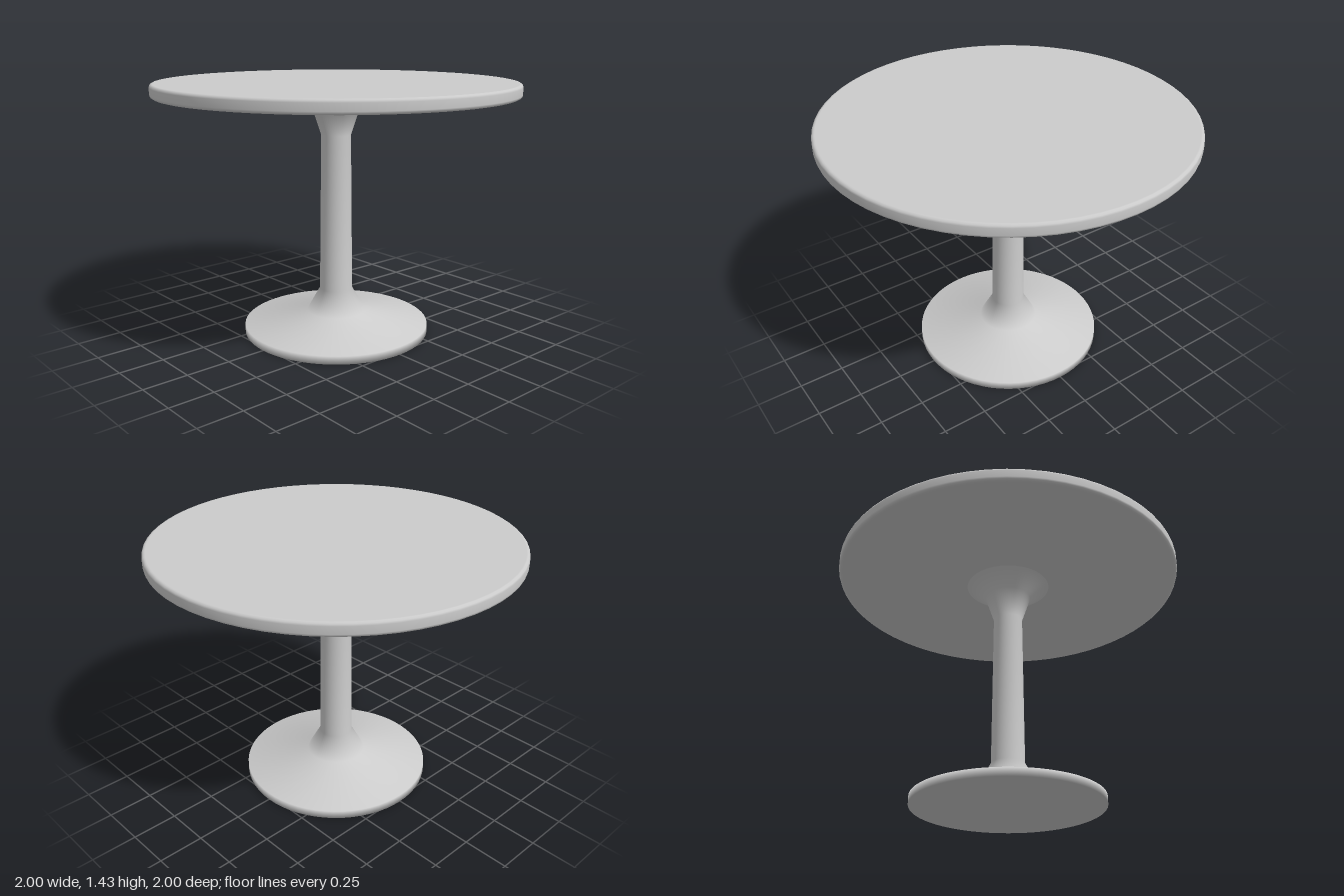
import * as THREE from 'three';

const SEGMENTS = 64;

// Revolve a profile of [radius, height] pairs around the y axis
function turned(name, profile, material) {
  const points = profile.map(([r, y]) => new THREE.Vector2(r, y));
  const mesh = new THREE.Mesh(new THREE.LatheGeometry(points, SEGMENTS), material);
  mesh.name = name;
  return mesh;
}

export function createModel() {
  const group = new THREE.Group();
  group.name = 'pedestalTable';
  const material = new THREE.MeshStandardMaterial({ color: 0xcccccc });

  // Pedestal: flat foot, flared neck, tapering column and spreading collar
  group.add(turned('pedestal', [
    [0, 0],
    [0.528, 0],
    [0.528, 0.046],
    [0.166, 0.115],
    [0.093, 0.247],
    [0.083, 1.138],
    [0.132, 1.286],
    [0.246, 1.364],
  ], material));

  // Round top with softened edges; the extra inner rings keep its faces flat
  group.add(turned('tableTop', [
    [0, 1.362],
    [0.98, 1.362],
    [0.988, 1.362],
    [0.997, 1.368],
    [1, 1.378],
    [1, 1.416],
    [0.997, 1.426],
    [0.988, 1.432],
    [0.98, 1.432],
    [0, 1.432],
  ], material));

  return group;
}
